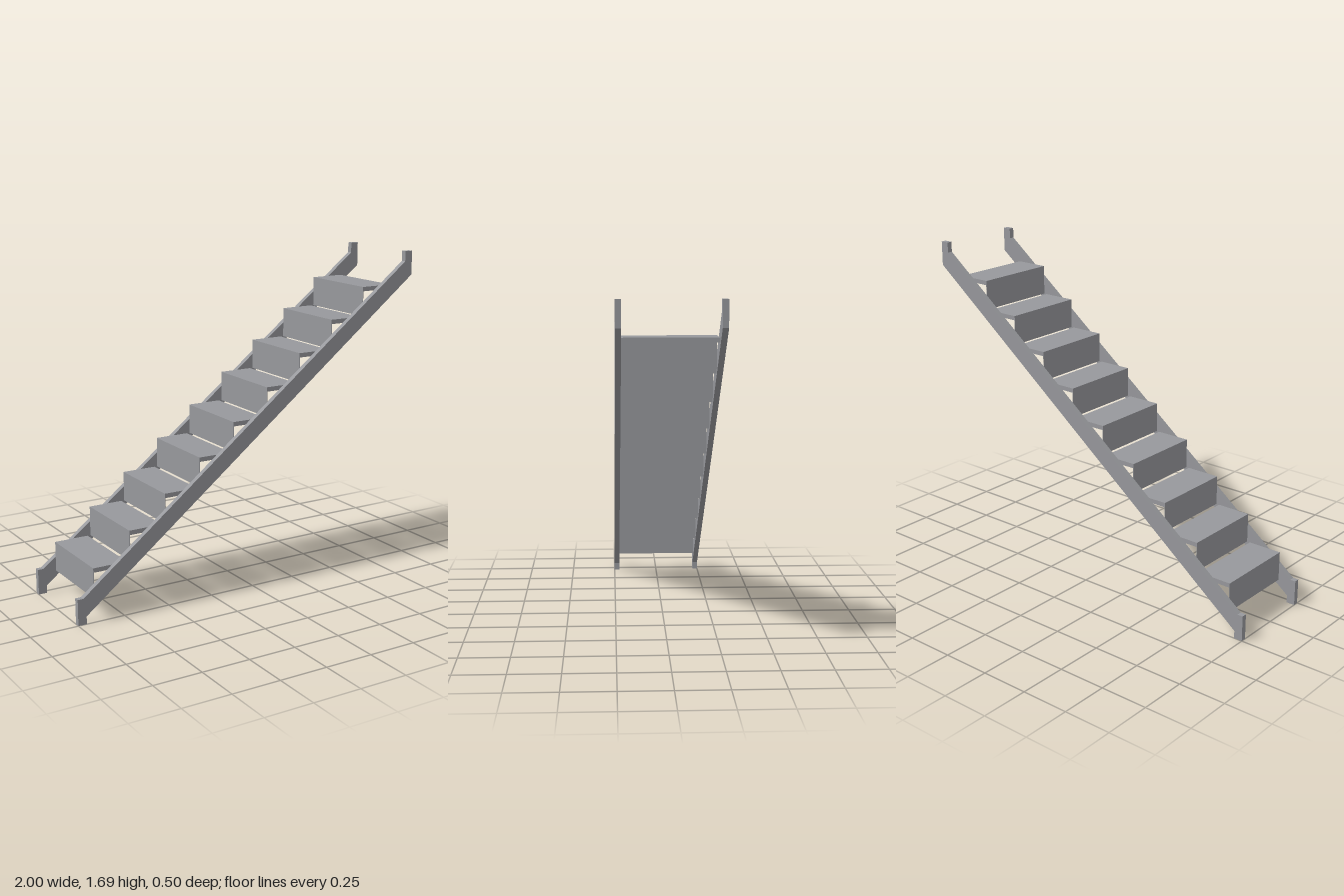
import * as THREE from 'three';

export function createModel() {
  const model = new THREE.Group();
  model.name = 'staircase';

  const grey = new THREE.MeshStandardMaterial({ color: 0x97989c });
  grey.name = 'steel grey';

  const add = (geometry, name, x, y, z) => {
    const mesh = new THREE.Mesh(geometry, grey);
    mesh.name = name;
    mesh.position.set(x, y, z);
    model.add(mesh);
  };

  // Sloping side beams with a short foot below and a short post on top
  const profile = new THREE.Shape([
    [-1, 0], [-0.955, 0], [-0.955, 0.04], [1, 1.56], [1, 1.687],
    [0.955, 1.687], [0.955, 1.633], [-0.97, 0.134], [-1, 0.134],
  ].map(([x, y]) => new THREE.Vector2(x, y)));
  const thick = 0.028;
  const beam = new THREE.ExtrudeGeometry(profile, { depth: thick, bevelEnabled: false });
  add(beam, 'frontStringer', 0, 0, 0.25 - thick);
  add(beam, 'backStringer', 0, 0, -0.25);

  // Nine steps, each a flat tread with a thin riser hanging from its front edge
  const rise = 0.1557, run = 0.2, width = 0.444;
  const depth = 0.183, treadThick = 0.023, riserThick = 0.003;
  const tread = new THREE.BoxGeometry(depth, treadThick, width);
  const riser = new THREE.BoxGeometry(riserThick, rise - treadThick, width);
  for (let i = 0; i < 9; i++) {
    const x = -0.9 + i * run;
    const top = 0.267 + i * rise;
    add(tread, 'tread' + (i + 1), x + depth / 2, top - treadThick / 2, 0);
    add(riser, 'riser' + (i + 1), x + riserThick / 2, top - (rise + treadThick) / 2, 0);
  }
  return model;
}
